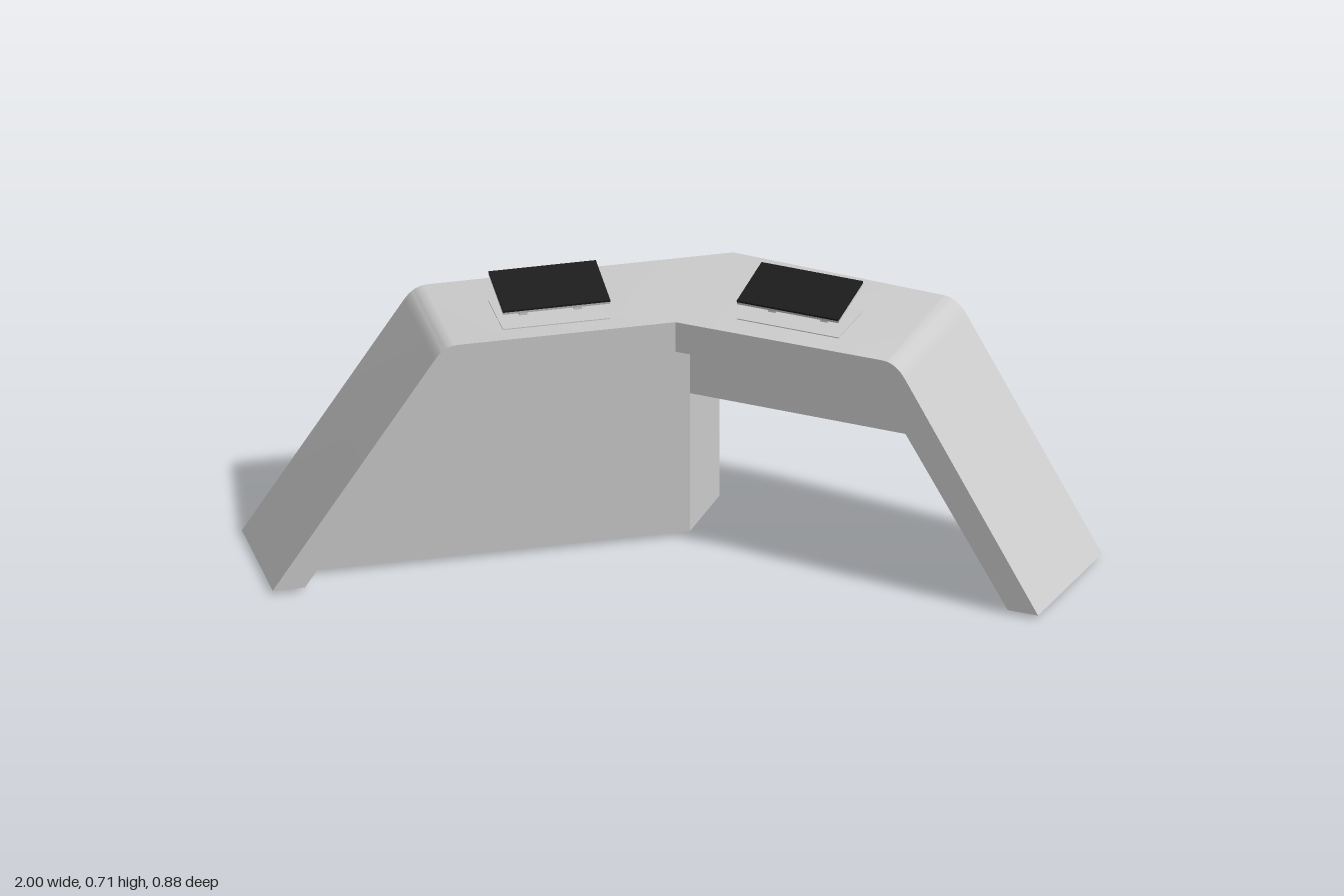
import * as THREE from 'three';
import { toCreasedNormals } from 'three/addons/utils/BufferGeometryUtils.js';

const grey = new THREE.MeshStandardMaterial({ color: 0xcccccc });
const black = new THREE.MeshStandardMaterial({ color: 0x1c1c1c });

// Point on the bent desk: s runs along it (0 = mitre), f from front (0) to back (1)
function deskPoint(s, y, f) {
  const lerp = THREE.MathUtils.lerp;
  if (s < 0) return new THREE.Vector3(s, y, lerp(-0.108, -0.44, f));
  return new THREE.Vector3(
    lerp(0.775 * s, 0.22 + 0.78 * s, f), y,
    lerp(-0.108 + 0.545 * s, -0.44 + 0.59 * s, f));
}

// Solid from a counter-clockwise (s, y) outline, spanning f0 to f1 in depth
function wingSolid(name, outline, f0, f1) {
  const pts = outline.map(([s, y]) => new THREE.Vector2(s, y));
  const at = (i, f) => deskPoint(pts[i].x, pts[i].y, f);
  const pos = [];
  const tri = (...corners) => corners.forEach(c => pos.push(c.x, c.y, c.z));
  for (const [a, b, c] of THREE.ShapeUtils.triangulateShape(pts, [])) {
    tri(at(a, f0), at(b, f0), at(c, f0));
    tri(at(a, f1), at(c, f1), at(b, f1));
  }
  pts.forEach((_, i) => {
    const j = (i + 1) % pts.length;
    tri(at(i, f0), at(i, f1), at(j, f1));
    tri(at(i, f0), at(j, f1), at(j, f0));
  });
  const geo = new THREE.BufferGeometry();
  geo.setAttribute('position', new THREE.Float32BufferAttribute(pos, 3));
  const mesh = new THREE.Mesh(toCreasedNormals(geo, 0.5), grey);
  mesh.name = name;
  return mesh;
}

// Rounded corner between two points around a control point
function knee(a, corner, b) {
  const v = p => new THREE.Vector2(...p);
  return new THREE.QuadraticBezierCurve(v(a), v(corner), v(b)).getPoints(8).map(p => [p.x, p.y]);
}

function box(name, w, h, d, y, material, x = 0, z = 0) {
  const mesh = new THREE.Mesh(new THREE.BoxGeometry(w, h, d), material);
  mesh.position.set(x, y, z);
  mesh.name = name;
  return mesh;
}

// Tilted display on two posts with a thin base plate
function displayStand(name, x, z, angle) {
  const stand = new THREE.Group();
  stand.name = name;
  stand.position.set(x, 0.625, z);
  stand.rotation.y = angle;
  stand.add(box('basePlate', 0.266, 0.003, 0.155, 0.001, grey));
  for (const side of [-1, 1]) {
    stand.add(box('post', 0.02, 0.06, 0.03, 0.03, grey, side * 0.068));
  }
  const head = new THREE.Group();
  head.name = 'displayHead';
  head.position.y = 0.06;
  head.rotation.x = 0.195;
  head.add(box('tray', 0.266, 0.006, 0.16, 0, grey));
  head.add(box('screen', 0.266, 0.005, 0.16, 0.0055, black));
  stand.add(head);
  return stand;
}

export function createModel() {
  const desk = new THREE.Group();
  desk.name = 'receptionDesk';

  // Folded outer band: leg and counter of each wing
  desk.add(wingSolid('rightBand', [
    [-1, 0.01], [-0.92, 0.01], [-0.535, 0.545], [0, 0.545], [0, 0.625],
    ...knee([-0.54, 0.625], [-0.574, 0.625], [-0.598, 0.59]),
  ], 0, 1));
  desk.add(wingSolid('leftBand', [
    [0, 0.625], [0, 0.545], [0.563, 0.545], [0.916, 0.01], [1, 0.01],
    ...knee([0.633, 0.585], [0.607, 0.625], [0.57, 0.625]),
  ], 0, 1));

  // Recessed infill: full panel on one wing, apron and leg lining on the other
  desk.add(wingSolid('frontPanel', [
    [-0.92, 0.01], [0, 0.01], [0, 0.545], [-0.535, 0.545],
  ], 0.25, 0.76));
  desk.add(wingSolid('apron', [
    [0, 0.385], [0.63, 0.385], [0.887, 0], [0.92, 0], [0.925, 0.012], [0.573, 0.545], [0, 0.545],
  ], 0.25, 0.76));

  desk.add(displayStand('rightDisplay', -0.283, -0.238, 0));
  desk.add(displayStand('leftDisplay', 0.302, -0.075, -0.62));
  return desk;
}
